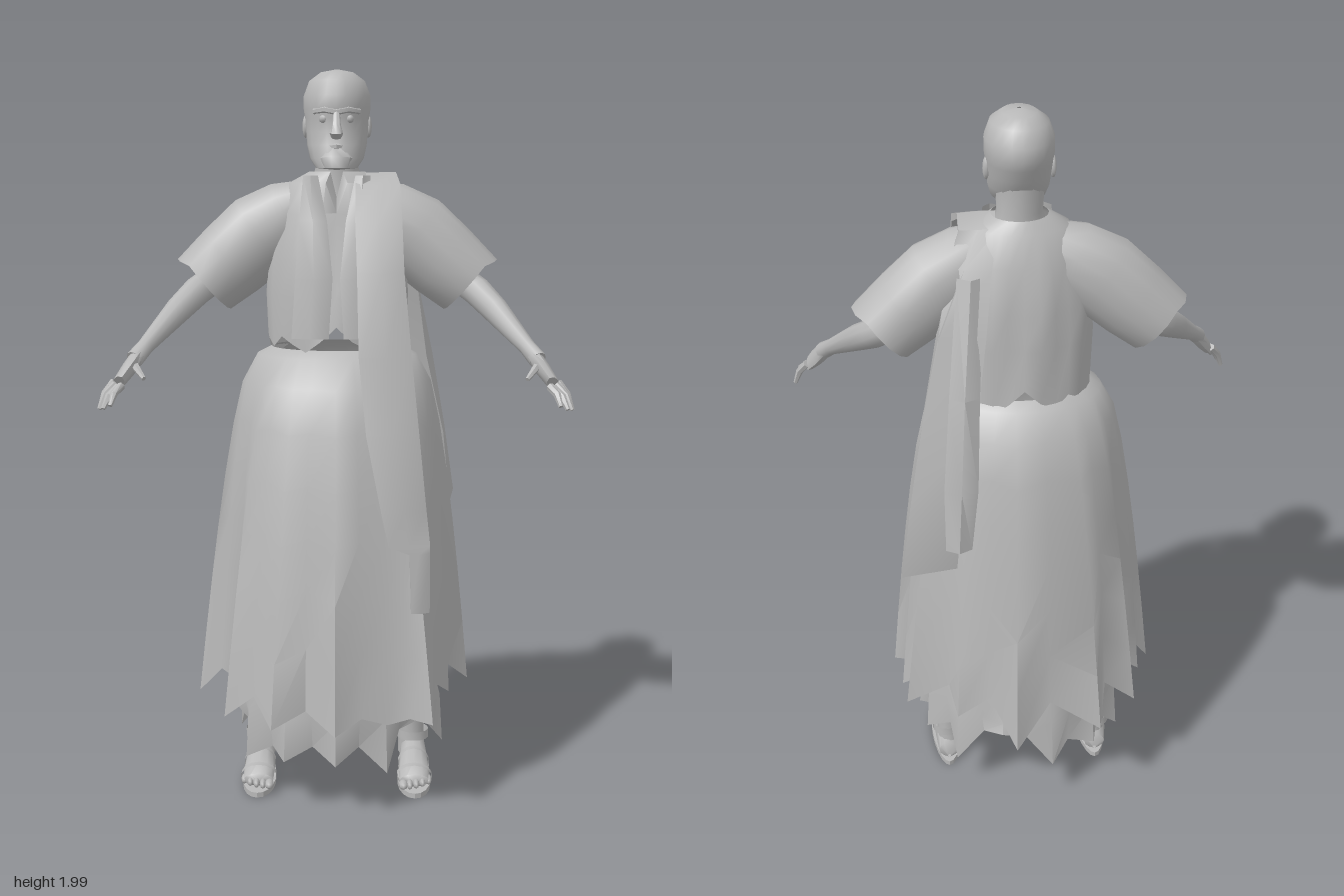
import * as THREE from 'three';
import { toCreasedNormals } from 'three/addons/utils/BufferGeometryUtils.js';

const V = (x, y, z) => new THREE.Vector3(x, y, z);
const lerp = THREE.MathUtils.lerp;

// skin over rows of points; wrap joins the last column to the first
function skin(rows, wrap = true, crease = 0.9) {
  const n = rows[0].length, pos = [], idx = [];
  rows.forEach(r => r.forEach(p => pos.push(p.x, p.y, p.z)));
  for (let i = 0; i < rows.length - 1; i++) {
    for (let j = 0; j < (wrap ? n : n - 1); j++) {
      const k = (j + 1) % n, a = i * n + j, b = i * n + k, c = a + n, d = b + n;
      idx.push(a, c, b, b, c, d);
    }
  }
  const g = new THREE.BufferGeometry();
  g.setAttribute('position', new THREE.Float32BufferAttribute(pos, 3));
  g.setIndex(idx);
  return toCreasedNormals(g, crease);
}

// horizontal ellipse ring, angle 0 at the front
const ring = (y, zc, rx, rz, n) => Array.from({ length: n }, (_, i) => {
  const a = i / n * Math.PI * 2;
  return V(Math.sin(a) * rx, y, zc + Math.cos(a) * rz);
});

// closed limb through stations [x, y, z, radiusAcross, radiusDepth]
function limb(st, n = 10, capped = true) {
  const p = st.map(s => V(s[0], s[1], s[2]));
  const rows = st.map((s, i) => {
    const t = p[Math.min(i + 1, p.length - 1)].clone().sub(p[Math.max(i - 1, 0)]).normalize();
    const u = V(0, 0, 1).cross(t).normalize(), v = t.clone().cross(u);
    return Array.from({ length: n }, (_, j) => {
      const a = j / n * Math.PI * 2;
      return p[i].clone().addScaledVector(u, Math.cos(a) * s[3]).addScaledVector(v, Math.sin(a) * (s[4] ?? s[3]));
    });
  });
  if (capped) {
    rows.unshift(rows[0].map(() => p[0].clone()));
    rows.push(rows[0].map(() => p[p.length - 1].clone()));
  }
  return skin(rows);
}

export function createModel() {
  const model = new THREE.Group();
  const grey = new THREE.MeshStandardMaterial({ color: 0xb8b8b8, side: THREE.DoubleSide });
  grey.name = 'plain grey';
  const add = (name, geo, parent = model) => {
    const m = new THREE.Mesh(geo, grey);
    m.name = name;
    parent.add(m);
    return m;
  };

  // head: rows of y, centre z, half width, half depth
  const head = new THREE.Group();
  head.name = 'head';
  model.add(head);
  const skull = [[2.0, -0.01, 0.005, 0.005], [1.992, -0.01, 0.045, 0.06], [1.97, -0.01, 0.075, 0.093], [1.93, -0.012, 0.09, 0.113],
    [1.895, -0.012, 0.09, 0.115], [1.87, -0.01, 0.086, 0.108], [1.835, 0, 0.083, 0.1], [1.80, 0.012, 0.08, 0.095],
    [1.765, 0.035, 0.072, 0.085], [1.74, 0.06, 0.055, 0.062], [1.735, 0.06, 0.005, 0.005]];
  add('skull', skin(skull.map(s => ring(...s, 20))), head);
  add('neck', skin([[1.82, -0.02, 0.065, 0.07], [1.74, -0.02, 0.06, 0.062], [1.67, -0.02, 0.08, 0.065], [1.58, -0.02, 0.13, 0.08]].map(s => ring(...s, 14))), head);
  add('brow', limb([[-0.06, 1.888, 0.07, 0.008], [-0.03, 1.892, 0.091, 0.01], [0, 1.886, 0.097, 0.01], [0.03, 1.892, 0.091, 0.01], [0.06, 1.888, 0.07, 0.008]], 6), head);
  add('nose', limb([[0, 1.885, 0.096, 0.009], [0, 1.85, 0.116, 0.012], [0, 1.832, 0.122, 0.018, 0.015], [0, 1.822, 0.108, 0.015, 0.01]], 8), head);
  add('lips', limb([[-0.028, 1.795, 0.094, 0.004], [0, 1.797, 0.108, 0.008], [0.028, 1.795, 0.094, 0.004]], 6), head);
  add('beard', limb([[0, 1.785, 0.09, 0.03, 0.02], [0, 1.765, 0.1, 0.045, 0.024], [0, 1.74, 0.1, 0.035, 0.026]], 10), head);
  for (const s of [1, -1]) {
    const ear = add('ear', new THREE.SphereGeometry(1, 8, 8), head);
    ear.scale.set(0.009, 0.03, 0.018);
    ear.position.set(s * 0.085, 1.85, -0.02);
    const eye = add('eye', new THREE.SphereGeometry(0.012, 8, 6), head);
    eye.position.set(s * 0.034, 1.868, 0.083);
  }

  // ragged upper robe
  const vest = [[1.73, -0.02, 0.075, 0.07], [1.70, -0.02, 0.13, 0.09], [1.62, -0.025, 0.17, 0.115], [1.5, -0.025, 0.19, 0.14], [1.4, -0.02, 0.195, 0.147], [1.27, -0.02, 0.19, 0.152]]
    .map(s => ring(...s, 28));
  const rag = [0.05, 0.01, -0.01, 0.02, 0, -0.02, 0.01];
  vest[5].forEach((p, i) => { p.y += rag[i % 7] - (p.z < 0 ? 0.03 : 0); });
  vest[0][0].y = 1.66; // notch of the neckline
  vest[1][0].y = 1.62;
  vest.slice(3, 5).forEach(r => r.forEach((p, i) => { p.z += (i % 3 ? 0.006 : -0.008); }));
  add('upperRobe', skin(vest));
  // open front edges of the robe
  for (const s of [1, -1]) {
    add('robeLapel', skin([[1.72, 0.05, 0.09, 0.06], [1.6, 0.025, 0.1, 0.105], [1.45, 0.01, 0.11, 0.133], [1.29, 0.02, 0.12, 0.142]]
      .map(([y, a, b, z]) => [V(s * a, y, z), V(s * (a + b) / 2, y, z + 0.012), V(s * b, y, z - 0.01)]), false));
  }

  // skirt hem points x, z, y going round from the front
  const hem = [[0, .40, .27], [.07, .34, .3], [.14, .33, .28], [.2, .31, .29], [.26, .33, .28], [.27, .22, .36], [.31, .17, .32],
    [.31, .08, .37], [.37, .02, .31], [.32, -.06, .36], [.35, -.13, .33], [.3, -.17, .38], [.34, -.23, .34], [.22, -.24, .4],
    [.2, -.31, .34], [.11, -.31, .4], [.04, -.4, .28], [-.06, -.32, .38], [-.2, -.35, .3], [-.22, -.27, .4], [-.31, -.25, .32],
    [-.27, -.16, .4], [-.34, -.12, .33], [-.32, -.03, .38], [-.39, .02, .27], [-.32, .1, .36], [-.27, .17, .35], [-.3, .27, .28],
    [-.22, .28, .34], [-.17, .35, .27], [-.08, .31, .31]];
  const skirt = [-0.05, 0, 0.08, 0.2, 0.35, 0.5, 0.65, 0.82, 1].map(t => hem.map(([x, z, y]) => {
    const a = Math.atan2(x, z), sx = Math.sin(a), cz = Math.cos(a);
    if (t < 0) return V(sx * 0.18, 1.255, -0.02 + cz * 0.135);
    const k = Math.pow(t, 0.5), f = Math.pow(t, 1.1);
    return V(lerp(sx * 0.22, sx * 0.36, k) + (x - sx * 0.36) * f, lerp(1.235, y, t),
      lerp(-0.02 + cz * 0.165, cz * 0.36, k) + (z - cz * 0.36) * f);
  }));
  add('skirt', skin(skirt, true, 1.1));

  // torn under robe
  const drop = [0.15, 0.22, 0.13, 0.19, 0.25, 0.17, 0.12, 0.21];
  const under = [[0.37, 0.01, 0.265, 0.265], [0.27, 0.01, 0.285, 0.28], [0.18, 0, 0.285, 0.285]].map(s => ring(...s, 26));
  under.forEach((r, i) => r.forEach((p, j) => {
    const w = 1 + (j % 2 ? -0.04 : 0.03) * i;
    p.x *= w; p.z *= w;
    if (i === 2) p.y = drop[(j * 3) % 8];
  }));
  add('underRobe', skin(under));

  // long scarf over the left shoulder: y, then x and z of the inner edge, middle fold and outer edge
  const scarf = [[.80, .19, -.24, .34, -.27, .32, -.09], [1.0, .17, -.235, .31, -.235, .3, -.09], [1.22, .13, -.215, .27, -.185, .25, -.08], [1.45, .1, -.175, .22, -.16, .22, -.1],
    [1.62, .08, -.125, .15, -.12, .19, -.1], [1.70, .06, -.07, .11, -.07, .16, -.07], [1.72, .05, 0, .1, 0, .16, -.01], [1.69, .05, .07, .11, .07, .17, .06], [1.6, .05, .12, .11, .12, .175, .11],
    [1.47, .055, .17, .12, .175, .18, .16], [1.25, .06, .215, .13, .215, .2, .195], [1.05, .08, .265, .15, .265, .22, .24], [.85, .12, .295, .18, .295, .24, .265],
    [.76, .14, .3, .19, .3, .25, .275], [.74, .195, .3, .22, .3, .25, .28], [.58, .2, .3, .225, .3, .25, .285]];
  const h = 0.008;
  const path = scarf.map(([y, ...q]) => {
    const ny = y > 1.68 ? h : 0, nz = y > 1.71 ? 0 : Math.sign(q[1]) * h;
    const side = d => [0, 2, 4].map(i => V(q[i], y + ny * d, q[i + 1] + nz * d));
    return [...side(1), ...side(-1).reverse()];
  });
  add('scarf', skin(path, true, 0.8));
  // second tail hanging behind
  add('scarfTail', skin([[.1, .17, 1.6, -.13], [.12, .2, 1.3, -.215], [.13, .22, 1.05, -.26], [.15, .22, .88, -.28]]
    .map(([a, b, y, z]) => [V(a, y, z), V((a + b) / 2, y, z - 0.02), V(b, y, z)]), false));

  for (const s of [1, -1]) {
    const side = s > 0 ? 'left' : 'right';
    const mir = st => st.map(([x, ...r]) => [s * x, ...r]);

    // wide short sleeve with a pointed outer hem
    const sleeve = add(side + 'Sleeve', limb(mir([[.07, 1.645, -.03, .07, .065], [.13, 1.61, -.035, .1, .085], [.21, 1.56, -.04, .115, .095], [.29, 1.49, -.04, .11, .1], [.36, 1.43, -.04, .1, .1]]), 14, false));
    const sp = sleeve.geometry.attributes.position;
    for (let i = 0; i < sp.count; i++) {
      const x = Math.abs(sp.getX(i));
      if (x > 0.4) sp.setXYZ(i, s * (x + (x - 0.4) * 0.6), sp.getY(i) - (x - 0.4) * 0.6, sp.getZ(i));
    }
    // bent arm
    add(side + 'Arm', limb(mir([[.22, 1.56, -.04, .045], [.35, 1.43, -.05, .04], [.385, 1.405, -.02, .04], [.43, 1.36, .05, .036], [.505, 1.275, .175, .022], [.53, 1.245, .215, .024]]), 10));
    // hand
    const hand = new THREE.Group();
    hand.name = side + 'Hand';
    model.add(hand);
    add('palm', limb(mir([[.52, 1.255, .2, .02, .022], [.54, 1.225, .235, .02, .035], [.565, 1.19, .27, .016, .036]]), 8), hand);
    for (const [x, y, z, X, Y, Z] of [[.58, 1.19, .245, .617, 1.12, .27], [.575, 1.185, .262, .612, 1.125, .3], [.565, 1.18, .28, .598, 1.13, .325], [.555, 1.185, .29, .578, 1.14, .34], [.53, 1.235, .23, .495, 1.205, .3]]) {
      add('finger', limb(mir([[x, y, z, .011], [(x + X) / 2 + .004, (y + Y) / 2 + .006, (z + Z) / 2 + .004, .01], [X, Y, Z, .006]]), 6), hand);
    }

    // leg, foot and sandal
    add(side + 'Leg', limb(mir([[.19, .55, -.04, .062], [.195, .43, -.05, .06], [.205, .3, -.06, .055], [.215, .15, -.062, .036], [.215, .06, -.062, .038]]), 12));
    const foot = new THREE.Group();
    foot.name = side + 'Foot';
    foot.position.set(s * 0.22, 0, 0);
    model.add(foot);
    const outline = new THREE.Shape(Array.from({ length: 20 }, (_, i) => {
      const a = i / 20 * Math.PI * 2, c = Math.cos(a);
      return new THREE.Vector2(Math.sin(a) * (0.046 + 0.009 * c), -0.022 - c * 0.15);
    }));
    const sole = add('sole', new THREE.ExtrudeGeometry(outline, { depth: 0.014, bevelEnabled: false }).rotateX(-Math.PI / 2), foot);
    sole.position.y = 0.008;
    add('instep', skin([[-.11, .03, .005, .005], [-.105, .05, .03, .025], [-.06, .07, .037, .05], [0, .062, .04, .04], [.06, .05, .044, .026], [.12, .04, .042, .018], [.13, .035, .005, .005]]
      .map(([z, y, rx, ry]) => ring(0, 0, rx, ry, 12).map(p => V(p.x, p.z + y, z)))), foot);
    for (let i = 0; i < 5; i++) {
      const toe = add('toe', new THREE.SphereGeometry(1, 8, 6), foot);
      toe.scale.set(i ? 0.009 : 0.013, 0.012, 0.026);
      toe.position.set(s * (-0.032 + i * 0.018), 0.036, 0.14 - i * i * 0.0025);
    }
    for (const [z, y, rx, ry] of [[.02, .055, .045, .046], [.085, .043, .05, .032]]) {
      add('strap', skin([-0.012, 0.012].map(d => ring(0, 0, rx, ry, 14).map(p => V(p.x, Math.max(p.z + y, 0.02), z + d)))), foot);
    }
    add('ankleStrap', skin([.105, .13].map(y => ring(y, -0.062, 0.045, 0.045, 14))), foot);
  }
  return model;
}
